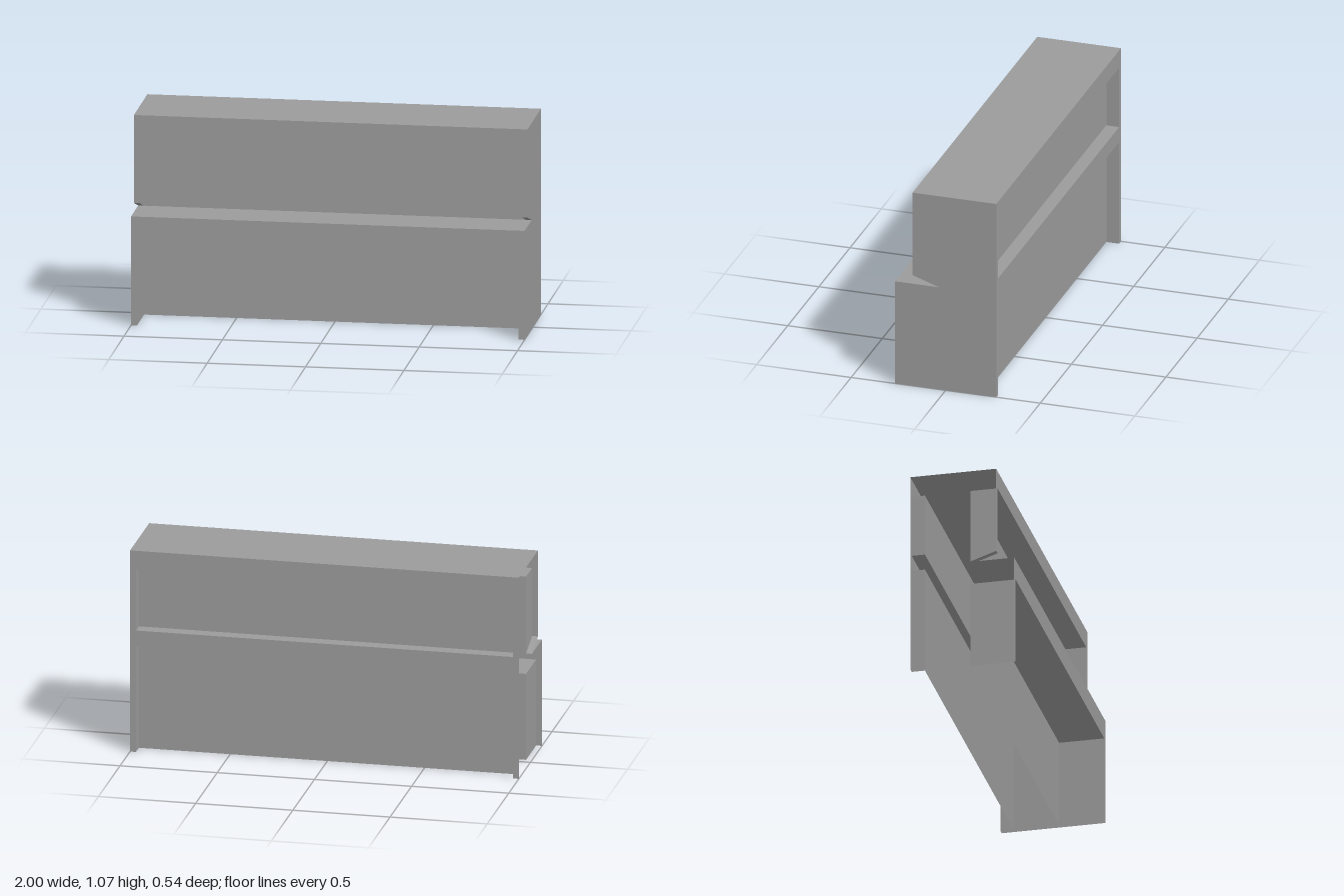
import * as THREE from 'three';

const W = 1, IN = 0.97;                     // half width, half width of the recesses
const H = 1.065, BACK = -0.268;             // overall height, rear plane
const COUNTER = 0.563, FRONT = 0.268;       // lower counter height and front plane
const UPPER = 0.175, LIP = 0.61;            // upper cabinet front plane and lower edge
const DEEP = 0.035;                         // rear plane of the front recesses
const HEAD = 0.97;                          // top of the upper recesses

const material = new THREE.MeshStandardMaterial({ color: 0x9b9b9b, side: THREE.DoubleSide, flatShading: true });

function addMesh(parent, name, geometry) {
  const mesh = new THREE.Mesh(geometry, material);
  mesh.name = name;
  parent.add(mesh);
  return mesh;
}

// Flat four-cornered panel, corners counter-clockwise
function panel(parent, name, ...corners) {
  const g = new THREE.BufferGeometry();
  g.setAttribute('position', new THREE.Float32BufferAttribute(corners.flat(), 3));
  g.setIndex([0, 1, 2, 0, 2, 3]);
  g.computeVertexNormals();
  return addMesh(parent, name, g);
}

const outline = (pts) => new THREE.Shape(pts.map(([x, y]) => new THREE.Vector2(x, y)));

// Face frame open at its lower edge: two uprights and a header
const frameShape = (y0, opening, y1) => outline([
  [-W, y0], [-IN, y0], [-IN, opening], [IN, opening], [IN, y0], [W, y0], [W, y1], [-W, y1],
]);

// Recess opening to +z: rear panel, side walls, ceiling and optional floor
function recess(parent, name, yFront, yRear, top, zFront, zRear, floor) {
  const g = new THREE.Group();
  g.name = name;
  parent.add(g);
  panel(g, 'rearPanel', [-IN, yRear, zRear], [IN, yRear, zRear], [IN, top, zRear], [-IN, top, zRear]);
  panel(g, 'ceiling', [-IN, top, zRear], [IN, top, zRear], [IN, top, zFront], [-IN, top, zFront]);
  for (const s of [-1, 1]) {
    const wall = [[s * IN, yFront, zFront], [s * IN, yRear, zRear], [s * IN, top, zRear], [s * IN, top, zFront]];
    panel(g, s < 0 ? 'rightWall' : 'leftWall', ...(s < 0 ? wall : wall.reverse()));
  }
  if (floor) panel(g, 'floor', [-IN, yFront, zFront], [IN, yFront, zFront], [IN, yRear, zRear], [-IN, yRear, zRear]);
}

export function createModel() {
  const model = new THREE.Group();
  model.name = 'counterShelf';

  // Closed left end with the notch above the counter; the right end is open
  const end = outline([
    [-FRONT, 0], [-BACK, 0], [-BACK, H], [-UPPER, H], [-UPPER, LIP], [-DEEP, COUNTER], [-FRONT, COUNTER],
  ]);
  addMesh(model, 'leftEnd', new THREE.ShapeGeometry(end).rotateY(Math.PI / 2)).position.x = W;

  // Horizontal tops
  panel(model, 'top', [-W, H, UPPER], [W, H, UPPER], [W, H, BACK], [-W, H, BACK]);
  panel(model, 'counterTop', [-W, COUNTER, FRONT], [W, COUNTER, FRONT], [W, COUNTER, DEEP], [-W, COUNTER, DEEP]);

  // Front frames
  addMesh(model, 'upperFrame', new THREE.ShapeGeometry(frameShape(LIP, HEAD, H))).position.z = UPPER;
  addMesh(model, 'lowerFrame', new THREE.ShapeGeometry(frameShape(0, 0.455, COUNTER))).position.z = FRONT;

  // Sloped undersides of the upper uprights
  for (const [a, b] of [[-W, -IN], [IN, W]]) {
    panel(model, 'slopedUnderside', [a, COUNTER, DEEP], [b, COUNTER, DEEP], [b, LIP, UPPER], [a, LIP, UPPER]);
  }

  // Front recesses
  recess(model, 'upperFrontRecess', LIP, COUNTER, HEAD, UPPER, DEEP, false);
  recess(model, 'lowerFrontRecess', 0, 0, 0.455, FRONT, DEEP, false);

  // Back: frame with a window, and two shallow recesses
  const back = new THREE.Group();
  back.name = 'back';
  back.rotation.y = Math.PI;
  model.add(back);
  const backShape = frameShape(0, 0.56, H);
  backShape.holes.push(outline([[-IN, 0.643], [-IN, HEAD], [IN, HEAD], [IN, 0.643]]));
  addMesh(back, 'backFrame', new THREE.ShapeGeometry(backShape)).position.z = -BACK;
  recess(back, 'upperBackRecess', 0.643, 0.643, HEAD, -BACK, 0.2, true);
  recess(back, 'lowerBackRecess', 0, 0, 0.56, -BACK, 0.2, false);

  return model;
}
